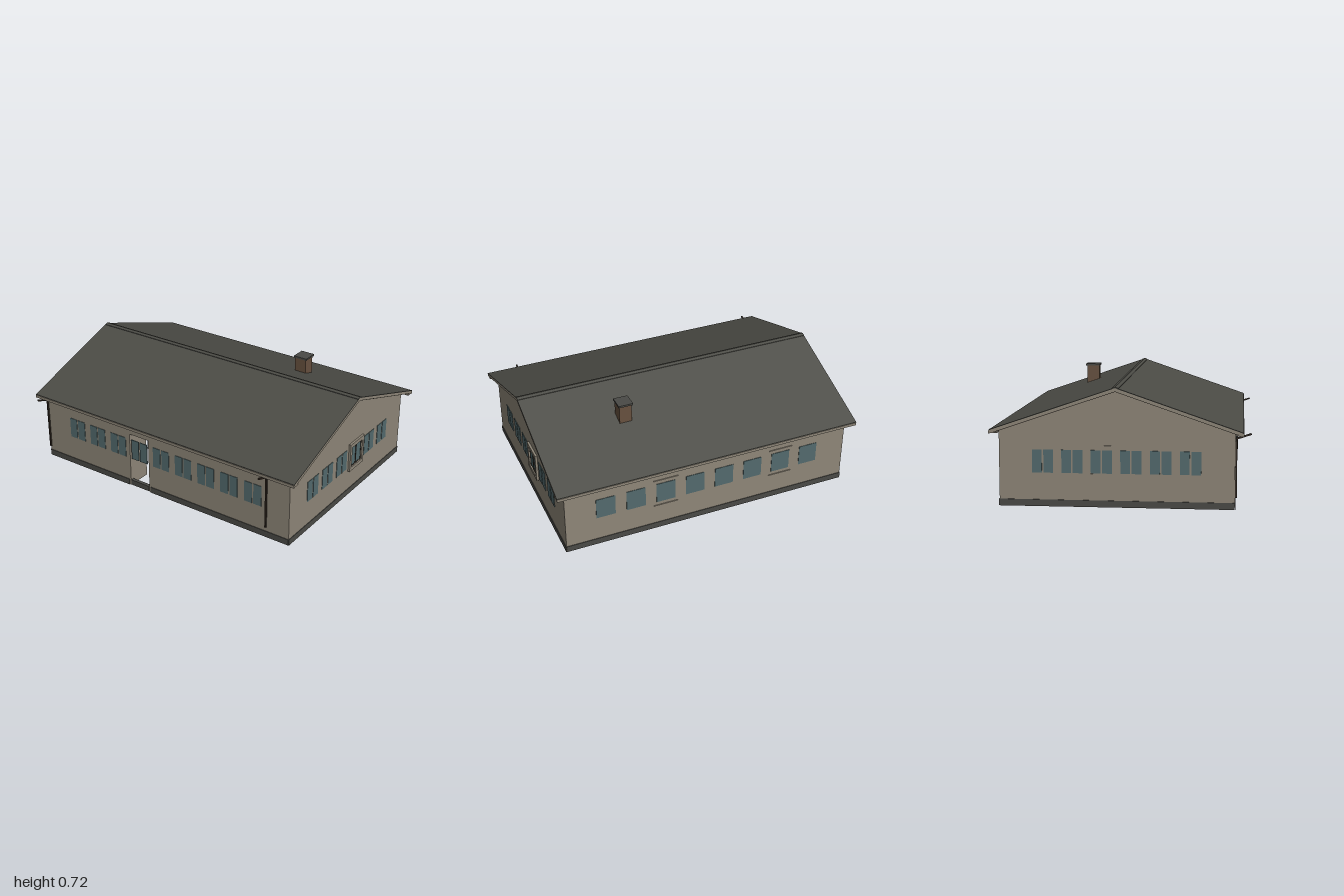
import * as THREE from 'three';

const mat = (name, color, double = false) => {
  const m = new THREE.MeshStandardMaterial({ color });
  m.name = name;
  if (double) m.side = THREE.DoubleSide;
  return m;
};

export function createModel() {
  const house = new THREE.Group();
  house.name = 'house';
  const wallMat = mat('beige render', 0x8e8678, true);
  const roofMat = mat('roof grey', 0x4b4b45);
  const plinthMat = mat('plinth grey', 0x4a4a46);
  const glassMat = mat('window glass', 0x536a6d);
  const pipeMat = mat('dark brown metal', 0x30271f);
  const brickMat = mat('chimney brick', 0x67513f);

  const add = (parent, name, geo, material, x = 0, y = 0, z = 0) => {
    const m = new THREE.Mesh(geo, material);
    m.name = name;
    m.position.set(x, y, z);
    parent.add(m);
    return m;
  };
  const box = (parent, name, material, x0, x1, y0, y1, z0, z1) =>
    add(parent, name, new THREE.BoxGeometry(x1 - x0, y1 - y0, z1 - z0), material,
      (x0 + x1) / 2, (y0 + y1) / 2, (z0 + z1) / 2);
  const shape = pts => new THREE.Shape(pts.map(p => new THREE.Vector2(...p)));
  const rect = (x0, x1, y0, y1) => [[x0, y0], [x1, y0], [x1, y1], [x0, y1]];

  // Main dimensions
  const HX = 0.945, ZF = 0.67, ZB = -0.71, DEPTH = 0.16, RIDGE = -0.02;
  const roofY = z => 0.708 - 0.342 * Math.abs(z - RIDGE);
  const ceilY = z => roofY(z) - 0.022;
  const DOOR = [-0.25, -0.1, 0.372];

  // A wall side in local coordinates: u runs along the wall, +z points outwards
  function makeSide(name, angle, x, z, outer, inner, plinths) {
    const g = new THREE.Group();
    g.name = name;
    g.rotation.y = angle;
    g.position.set(x, 0, z);
    house.add(g);
    add(g, 'outerWall', new THREE.ShapeGeometry(shape(outer)), wallMat);
    add(g, 'innerWall', new THREE.ShapeGeometry(shape(inner)), wallMat, 0, 0, -DEPTH);
    for (const [a, b] of plinths) box(g, 'plinth', plinthMat, a, b, 0, 0.04, 0.0005, 0.004);
    return g;
  }
  // Cross partitions in the hollow wall
  function partitions(g, u0, u1, skip = () => false) {
    const n = Math.round((u1 - u0) / 0.2);
    for (let i = 1; i < n; i++) {
      const u = u0 + (u1 - u0) * i / n;
      if (skip(u)) continue;
      add(g, 'wallPartition', new THREE.PlaneGeometry(DEPTH, 0.44), wallMat, u, 0.22, -DEPTH / 2)
        .rotation.y = Math.PI / 2;
    }
  }
  // Window panes on the outer and inner faces
  function windowAt(g, u, paired) {
    const panes = paired ? [[-0.062, -0.005], [0.005, 0.062]] : [[-0.062, 0.062]];
    for (const w of [0, -DEPTH]) {
      for (const [a, b] of panes) box(g, 'windowPane', glassMat, u + a, u + b, 0.2, 0.337, w - 0.003, w + 0.003);
    }
  }
  function frameAt(g, u, out) {
    const s = shape(rect(u - 0.086, u + 0.086, 0.173, 0.365));
    s.holes.push(new THREE.Path(rect(u - 0.064, u + 0.064, 0.198, 0.339).map(p => new THREE.Vector2(...p))));
    add(g, 'windowFrame', new THREE.ExtrudeGeometry(s, { depth: out, bevelEnabled: false }), wallMat);
  }

  // Front wall with door opening
  const withDoor = (w, h) => [[-w, 0], [DOOR[0], 0], [DOOR[0], DOOR[2]], [DOOR[1], DOOR[2]],
    [DOOR[1], 0], [w, 0], [w, h], [-w, h]];
  const front = makeSide('frontWall', 0, 0, ZF, withDoor(HX, ceilY(ZF)),
    withDoor(HX - DEPTH, ceilY(ZF - DEPTH)), [[-HX, -0.262], [-0.09, HX]]);
  for (let i = -4; i <= 4; i++) windowAt(front, i * 0.172, true);
  partitions(front, -HX, HX, u => u > DOOR[0] - 0.03 && u < DOOR[1] + 0.03);
  for (const u of [DOOR[0], DOOR[1]]) {
    add(front, 'doorReveal', new THREE.PlaneGeometry(DEPTH, DOOR[2]), wallMat, u, DOOR[2] / 2, -DEPTH / 2)
      .rotation.y = Math.PI / 2;
  }
  add(front, 'doorHead', new THREE.PlaneGeometry(DOOR[1] - DOOR[0], DEPTH), wallMat,
    (DOOR[0] + DOOR[1]) / 2, DOOR[2], -DEPTH / 2).rotation.x = Math.PI / 2;
  box(front, 'doorThreshold', plinthMat, DOOR[0] + 0.004, DOOR[1] - 0.004, 0.004, 0.04, -0.02, 0.003);

  // Back wall
  const back = makeSide('backWall', Math.PI, 0, ZB, rect(-HX, HX, 0, ceilY(ZB)),
    rect(DEPTH - HX, HX - DEPTH, 0, ceilY(ZB + DEPTH)), [[-HX, HX]]);
  for (let i = 0; i < 8; i++) windowAt(back, (i - 3.5) * 0.196, false);
  for (const u of [-0.294, 0.49]) {
    box(back, 'windowLedge', wallMat, u - 0.08, u + 0.08, 0.362, 0.366, 0, 0.006);
    box(back, 'windowSill', wallMat, u - 0.08, u + 0.08, 0.172, 0.176, 0, 0.006);
  }
  partitions(back, -HX, HX);

  // Gable walls: s maps the wall direction u to world z
  for (const [name, s] of [['rightGable', -1], ['leftGable', 1]]) {
    const gable = d => [[ZB + d, 0], [ZF - d, 0], [ZF - d, ceilY(ZF - d)], [RIDGE, ceilY(RIDGE)],
      [ZB + d, ceilY(ZB + d)]].map(([z, y]) => [s * z, y]);
    const ends = [s * ZF, s * ZB].sort((a, b) => a - b);
    const g = makeSide(name, -s * Math.PI / 2, -s * HX, 0, gable(0), gable(DEPTH), [ends]);
    for (let i = 0; i < 6; i++) windowAt(g, s * (0.413 - i * 0.173), true);
    frameAt(g, s * -0.106, s < 0 ? 0.014 : 0.004);
    if (s < 0) {
      box(g, 'windowMullion', pipeMat, 0.104, 0.108, 0.2, 0.337, 0.002, 0.006);
      for (const y of [0.198, 0.336]) box(g, 'windowRail', pipeMat, 0.043, 0.169, y, y + 0.003, 0.002, 0.006);
      for (const u of [0.043, 0.166]) box(g, 'windowStile', pipeMat, u, u + 0.003, 0.198, 0.339, 0.002, 0.006);
    }
    partitions(g, ends[0], ends[1]);
  }

  // Inner room walls behind the entrance
  const sideRoom = [[-0.51, 0], [0.09, 0], [0.09, ceilY(-0.09)], [-RIDGE, ceilY(RIDGE)], [-0.51, ceilY(0.51)]];
  add(house, 'hallSideWall', new THREE.ShapeGeometry(shape(sideRoom)), wallMat).rotation.y = Math.PI / 2;
  add(house, 'hallBackWall', new THREE.ShapeGeometry(shape(rect(-0.52, 0, 0, ceilY(-0.09)))), wallMat, 0, 0, -0.09);
  for (const z of [0.18, 0.32]) box(house, 'hallWindow', glassMat, -0.003, 0.003, 0.22, 0.36, z - 0.055, z + 0.055);

  // Roof layers: a band following the roof slope, from top offset t down to offset b
  function roofBand(name, material, zf, zb, hx, t, b) {
    const top = [zf, RIDGE, zb].map(z => [-z, roofY(z) + t]);
    const bottom = [zb, RIDGE, zf].map(z => [-z, roofY(z) + b]);
    const geo = new THREE.ExtrudeGeometry(shape([...top, ...bottom].reverse()), { depth: 2 * hx, bevelEnabled: false });
    geo.translate(0, 0, -hx).rotateY(Math.PI / 2);
    add(house, name, geo, material);
  }
  roofBand('roofCovering', roofMat, 0.718, -0.758, 1, 0.002, -0.002);
  roofBand('roofEdge', wallMat, 0.72, -0.76, 0.9995, -0.002, -0.02);
  roofBand('roofUnderside', pipeMat, 0.714, -0.754, 0.994, -0.02, -0.023);
  roofBand('ridgeCap', roofMat, 0, -0.04, 1, 0.005, 0);

  // Flat eave boards
  box(house, 'frontEave', wallMat, -0.998, 0.998, 0.437, 0.445, ZF, 0.718);
  box(house, 'backEave', wallMat, -0.998, 0.998, 0.437, 0.445, -0.758, ZB);

  // Chimney
  box(house, 'chimneyStack', brickMat, 0.375, 0.455, 0.56, 0.713, -0.366, -0.284);
  box(house, 'chimneyCap', plinthMat, 0.368, 0.462, 0.711, 0.723, -0.375, -0.278);

  // Downpipes with sloping spouts
  for (const x of [-0.94, 0.785]) {
    box(house, 'downpipe', pipeMat, x - 0.005, x + 0.005, 0.07, 0.42, 0.671, 0.681);
    const spout = add(house, 'spout', new THREE.BoxGeometry(0.01, 0.01, 0.095), pipeMat, x, 0.43, 0.716);
    spout.rotation.x = -0.32;
  }
  return house;
}
